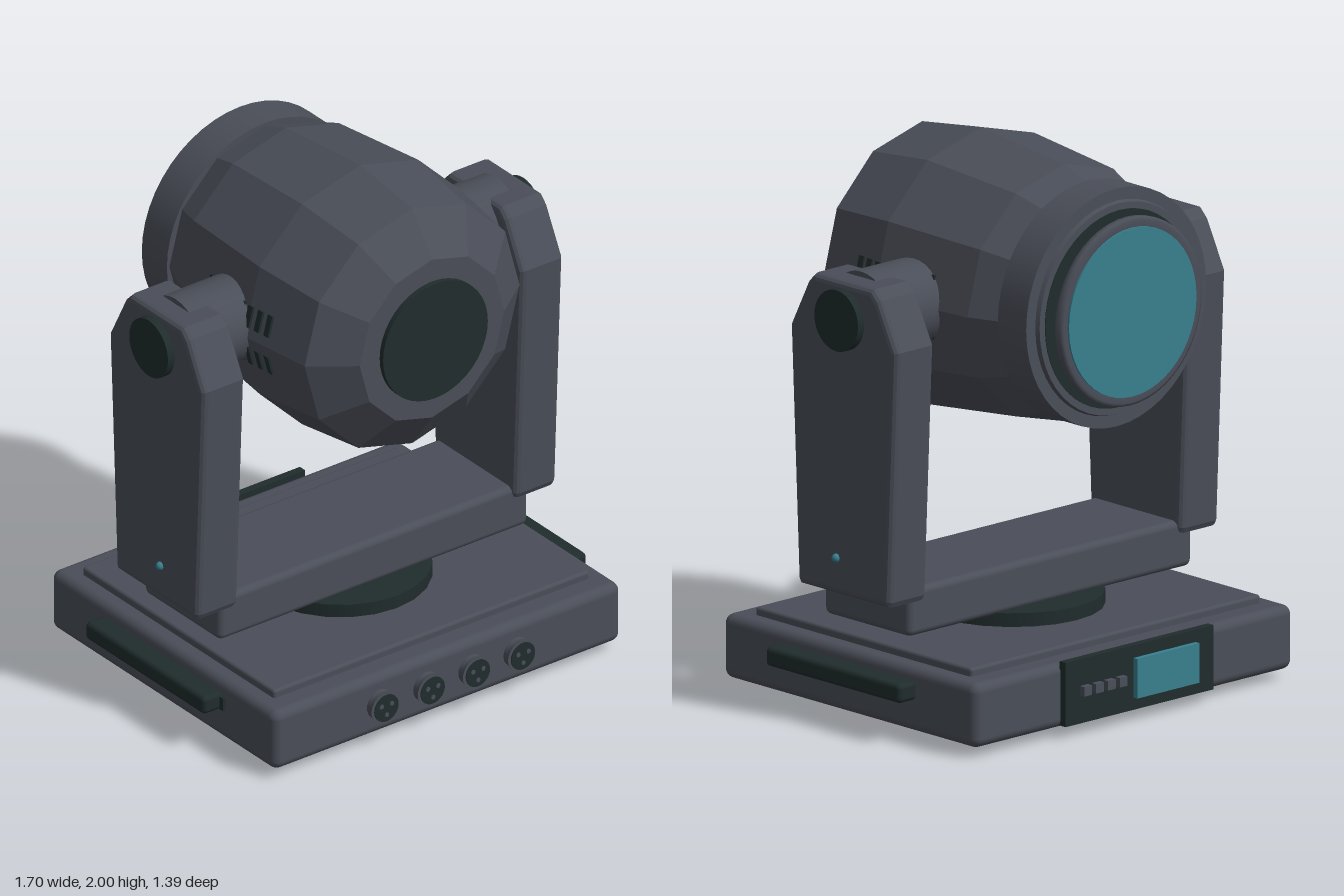
import * as THREE from 'three';
import { RoundedBoxGeometry } from 'three/addons/geometries/RoundedBoxGeometry.js';

const mat = (name, color, extra = {}) => {
  const m = new THREE.MeshStandardMaterial({ color, ...extra });
  m.name = name;
  return m;
};

export function createModel() {
  const model = new THREE.Group();
  model.name = 'movingHeadLight';
  const body = mat('slateGrey', 0x4a4e58);
  const facet = mat('slateGreyFaceted', 0x4a4e58, { flatShading: true });
  const dark = mat('darkTrim', 0x202c2c);
  const teal = mat('tealGlass', 0x38808f);

  const add = (name, geometry, material, x = 0, y = 0, z = 0, parent = model) => {
    const mesh = new THREE.Mesh(geometry, material);
    mesh.name = name;
    mesh.position.set(x, y, z);
    parent.add(mesh);
    return mesh;
  };
  const box = (w, h, d) => new THREE.BoxGeometry(w, h, d);
  const rounded = (w, h, d, r) => new RoundedBoxGeometry(w, h, d, 3, r);
  // Cylinders along each axis; r1 is the radius at the positive end
  const cylY = (r1, r0, len, n = 32) => new THREE.CylinderGeometry(r1, r0, len, n);
  const cylZ = (r1, r0, len, n = 40) => cylY(r1, r0, len, n).rotateX(Math.PI / 2);
  const cylX = (r, len, n = 32) => cylY(r, r, len, n).rotateZ(-Math.PI / 2);

  // Base with raised deck, feet and turntable
  add('base', rounded(1.54, 0.235, 1.3, 0.035), body, 0, 0.1525, 0);
  add('deck', rounded(1.4, 0.06, 1.11, 0.012), body, 0, 0.27, 0);
  for (const x of [-0.585, 0.585])
    for (const z of [-0.445, 0.445])
      add('foot', cylY(0.072, 0.072, 0.05, 20), dark, x, 0.025, z);
  add('turntable', cylY(0.352, 0.352, 0.06, 24).scale(0.95, 1, 1), dark, 0, 0.32, 0);

  // Carrying handles
  for (const s of [-1, 1]) {
    add('handle', rounded(0.09, 0.07, 0.69, 0.018), dark, s * 0.805, 0.19, 0);
    add('handleBracket', box(0.02, 0.05, 0.04), dark, s * 0.77, 0.185, 0.345);
  }

  // Front sockets with three pins each
  for (const x of [-0.305, -0.1, 0.1, 0.3]) {
    const socket = new THREE.Group();
    socket.name = 'socket';
    socket.position.set(x, 0.155, 0.65);
    model.add(socket);
    add('socketCollar', cylZ(0.056, 0.056, 0.025, 28), body, 0, 0, 0.012, socket);
    add('socketRim', cylZ(0.065, 0.06, 0.016, 28), body, 0, 0, 0.03, socket);
    add('socketFace', cylZ(0.053, 0.053, 0.006, 28), dark, 0, 0, 0.038, socket);
    for (let i = 0; i < 3; i++) {
      const a = Math.PI / 6 + (i * Math.PI * 2) / 3;
      add('pin', cylZ(0.009, 0.009, 0.006, 10), body, Math.cos(a) * 0.026, Math.sin(a) * 0.026, 0.041, socket);
    }
  }

  // Rear control panel
  add('controlPanel', box(0.715, 0.235, 0.03), dark, 0, 0.1625, -0.66);
  add('screen', box(0.3, 0.145, 0.02), teal, -0.12, 0.1625, -0.685);
  for (let i = 0; i < 4; i++)
    add('button', box(0.038, 0.035, 0.025), body, 0.098 + i * 0.057, 0.165, -0.685);

  // Yoke: crossbar and two tapered arms
  add('yokeCrossbar', rounded(1.37, 0.175, 0.44, 0.025), body, 0, 0.4275, 0);
  const armShape = new THREE.Shape(
    [[-0.225, 0.47], [0.225, 0.47], [0.235, 0.49], [0.275, 1.41], [0.185, 1.585], [0.15, 1.62],
      [-0.15, 1.62], [-0.185, 1.585], [-0.275, 1.41], [-0.235, 0.49]]
      .map(([z, y]) => new THREE.Vector2(z, y)));
  const bevel = 0.025;
  const armGeometry = new THREE.ExtrudeGeometry(armShape, {
    depth: 0.19 - 2 * bevel, bevelThickness: bevel, bevelSize: bevel, bevelOffset: -bevel, bevelSegments: 3,
  }).translate(0, 0, -(0.19 - 2 * bevel) / 2).rotateY(Math.PI / 2);
  for (const s of [-1, 1]) {
    add('yokeArm', armGeometry, body, s * 0.705, 0, 0);
    add('tiltPivot', cylX(0.157, 0.26), body, s * 0.58, 1.483, 0);
    add('pivotCap', cylX(0.112, 0.04), dark, s * 0.81, 1.483, 0);
    add('statusLight', new THREE.SphereGeometry(0.016, 14, 10), teal, s * 0.802, 0.605, 0.03);
  }

  // Twelve-sided lamp head lying along z
  const head = new THREE.Group();
  head.name = 'lampHead';
  head.position.y = 1.485;
  model.add(head);
  const profile = [[0, -0.42], [0.42, -0.42], [0.47, -0.29], [0.515, 0.14], [0.476, 0.44], [0.32, 0.555], [0, 0.555]];
  const shell = new THREE.LatheGeometry(profile.map(([r, z]) => new THREE.Vector2(r, z)), 12).rotateX(Math.PI / 2);
  add('headShell', shell, facet, 0, 0, 0, head);
  add('endCap', cylZ(0.232, 0.232, 0.03), dark, 0, 0, 0.56, head);

  // Bezel, rings and lens
  add('bezel', cylZ(0.435, 0.435, 0.145, 48), body, 0, 0, -0.4825, head);
  add('bezelLip', cylZ(0.392, 0.385, 0.02, 48), body, 0, 0, -0.561, head);
  add('bezelRecess', cylZ(0.36, 0.36, 0.004, 48), dark, 0, 0, -0.571, head);
  const ring = [[0.3, -0.632], [0.33, -0.636], [0.343, -0.628], [0.343, -0.606], [0.33, -0.597], [0.3, -0.597]];
  add('lensRing', new THREE.LatheGeometry(ring.map(([r, z]) => new THREE.Vector2(r, z)), 48).rotateX(Math.PI / 2),
    body, 0, 0, 0, head);
  add('lens', cylZ(0.308, 0.308, 0.04, 48), teal, 0, 0, -0.62, head);

  // Cooling slots in two rows on each side, following the facets
  for (const s of [-1, 1])
    for (const row of [-1, 1])
      for (const z of [-0.105, -0.057, -0.01, 0.037, 0.1, 0.147, 0.195, 0.243]) {
        const r = z > 0.14 ? 0.515 - (z - 0.14) * 0.13 : 0.515 - (0.14 - z) * 0.105;
        const slot = add('coolingSlot', box(0.016, 0.08, 0.025), dark, s * (r - 0.0205), row * 0.077, z, head);
        slot.rotation.z = s * row * (Math.PI / 12);
      }

  return model;
}
